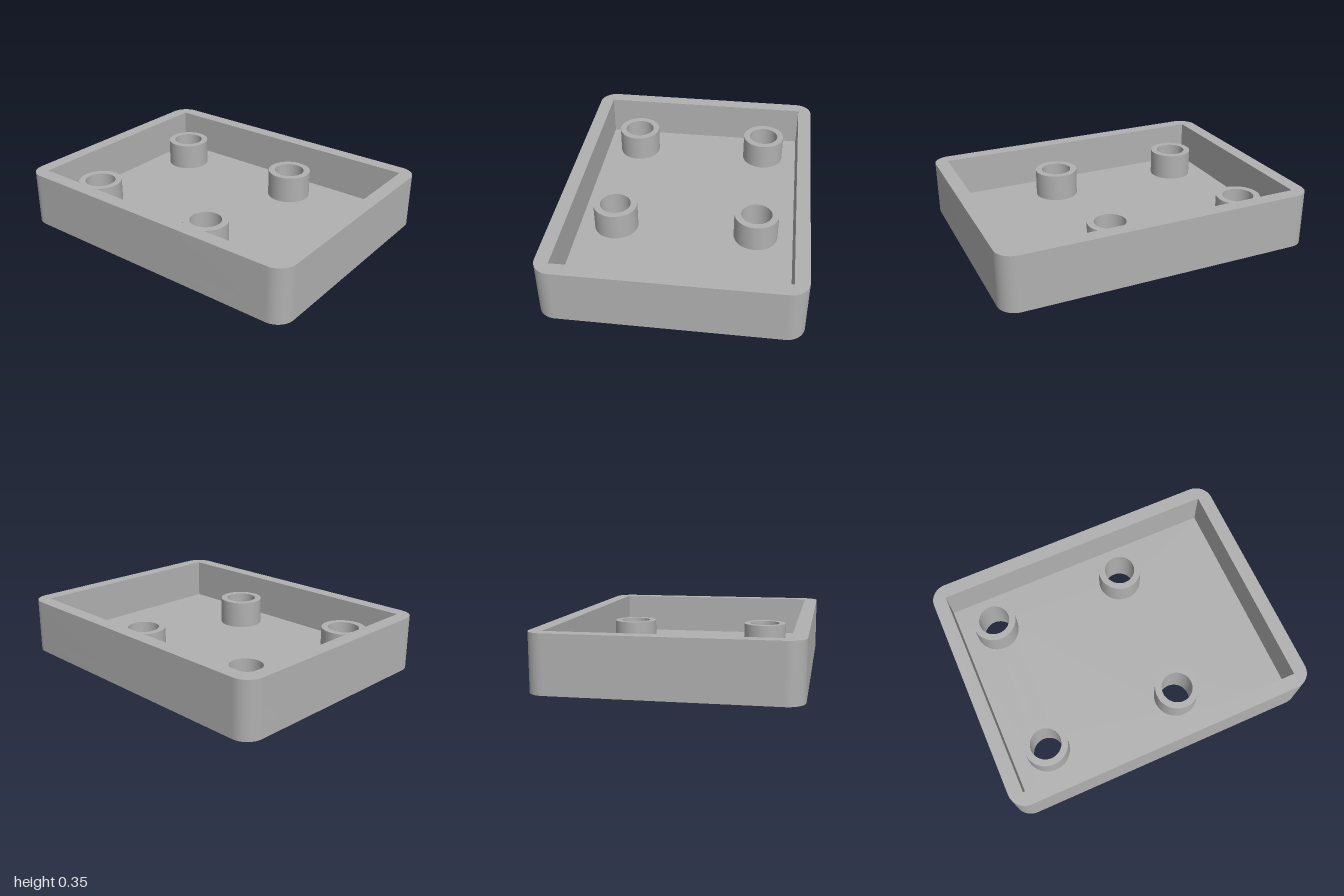
import * as THREE from 'three';
import { toCreasedNormals } from 'three/addons/utils/BufferGeometryUtils.js';

const WIDTH = 1.55, DEPTH = 2, HEIGHT = 0.35, WALL = 0.0875, CORNER = 0.11;
const POST_TOP = 0.2625, POST_R = 0.14, HOLE_R = 0.098;
const POSTS = [[-0.45, -0.68], [0.45, -0.68], [-0.45, 0.22], [0.45, 0.22]];

// Rounded outline of the tray; shape y becomes -z once laid flat
function outline() {
  const x = WIDTH / 2, y = DEPTH / 2, r = CORNER;
  const s = new THREE.Shape();
  s.absarc(x - r, y - r, r, 0, Math.PI / 2);
  s.absarc(-x + r, y - r, r, Math.PI / 2, Math.PI);
  s.absarc(-x + r, -y + r, r, Math.PI, Math.PI * 1.5);
  s.absarc(x - r, -y + r, r, Math.PI * 1.5, Math.PI * 2);
  s.closePath();
  return s;
}

function circle(Type, x, z, r) {
  return new Type().absarc(x, -z, r, 0, Math.PI * 2);
}

// Extrude a flat shape upwards from y0 to y1
function slab(name, shape, y0, y1, material) {
  const geo = new THREE.ExtrudeGeometry(shape, { depth: y1 - y0, bevelEnabled: false, curveSegments: 24 });
  geo.rotateX(-Math.PI / 2).translate(0, y0, 0);
  const mesh = new THREE.Mesh(toCreasedNormals(geo, Math.PI / 6), material);
  mesh.name = name;
  return mesh;
}

export function createModel() {
  const grey = new THREE.MeshStandardMaterial({ color: 0xb0b0b0 });
  grey.name = 'grey';
  const model = new THREE.Group();
  model.name = 'tray';

  // Floor with four through holes
  const floor = outline();
  for (const [x, z] of POSTS) floor.holes.push(circle(THREE.Path, x, z, HOLE_R));
  model.add(slab('floor', floor, 0, WALL, grey));

  // Wall: rounded outside, square inside corners
  const wall = outline();
  const ix = WIDTH / 2 - WALL, iy = DEPTH / 2 - WALL;
  wall.holes.push(new THREE.Path([[-ix, -iy], [-ix, iy], [ix, iy], [ix, -iy], [-ix, -iy]]
    .map(([x, y]) => new THREE.Vector2(x, y))));
  model.add(slab('wall', wall, WALL, HEIGHT, grey));

  // Hollow posts around the holes
  POSTS.forEach(([x, z], i) => {
    const ring = circle(THREE.Shape, x, z, POST_R);
    ring.holes.push(circle(THREE.Path, x, z, HOLE_R));
    model.add(slab('post' + (i + 1), ring, WALL, POST_TOP, grey));
  });
  return model;
}
